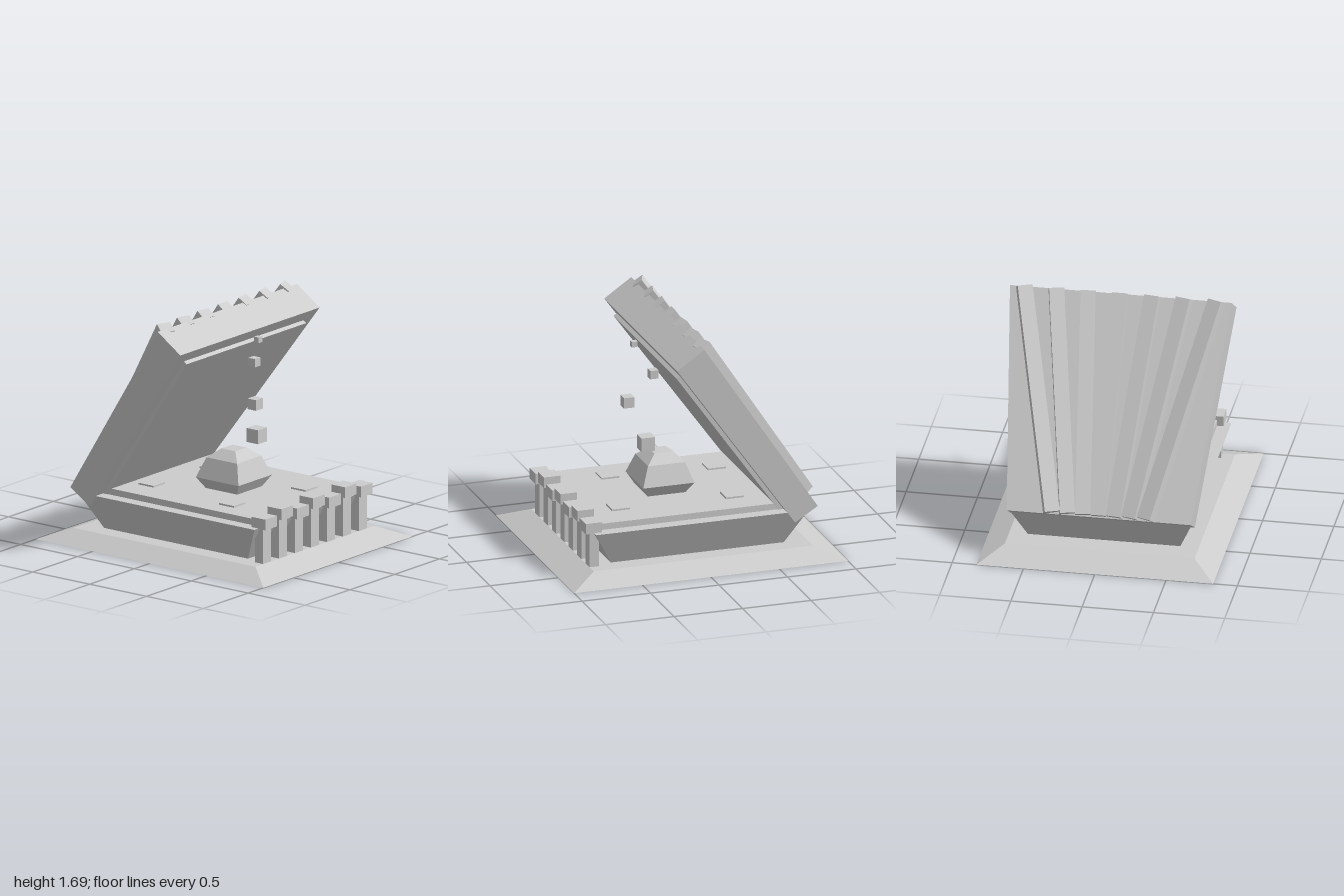
import * as THREE from 'three';
import { ConvexGeometry } from 'three/addons/geometries/ConvexGeometry.js';

export function createModel() {
  const model = new THREE.Group();
  model.name = 'openClamShell';
  const stone = new THREE.MeshStandardMaterial({ color: 0xcccccc });
  stone.name = 'paleGrey';

  const add = (name, geometry, x = 0, y = 0, z = 0) => {
    const mesh = new THREE.Mesh(geometry, stone);
    mesh.name = name;
    mesh.position.set(x, y, z);
    model.add(mesh);
    return mesh;
  };
  const box = (name, w, h, d, x, y, z) => add(name, new THREE.BoxGeometry(w, h, d), x, y, z);

  // Faceted solid from [x, y, halfZ] points mirrored across z
  const mirroredHull = (name, points) => add(name, new ConvexGeometry(
    points.flatMap(([x, y, z]) => [new THREE.Vector3(x, y, z), new THREE.Vector3(x, y, -z)])));

  // Solid of stacked rectangles: [y, halfX, halfZ]
  const stacked = (name, levels, cx = 0) => mirroredHull(name,
    levels.flatMap(([y, hx, hz]) => [[cx - hx, y, hz], [cx + hx, y, hz]]));

  // Sand base, lower shell and its floor
  stacked('sandBase', [[0, 1, 0.83], [0.08, 0.8, 0.665]]);
  stacked('lowerShell', [[0.08, 0.632, 0.535], [0.335, 0.775, 0.645]]);
  box('shellFloor', 1.47, 0.045, 1.11, 0, 0.3575, 0);

  // Raised lid, widening toward its open edge
  mirroredHull('upperShell', [
    [-0.843, 0.359, 0.645], [-0.677, 0.257, 0.645],
    [0.03, 1.655, 0.777], [0.228, 1.52, 0.777],
  ]);

  // Raised panel on the lid's inner face
  const along = new THREE.Vector2(0.582, 0.813);
  const panelPoint = (s, out, z) =>
    [-0.677 + along.x * s + along.y * out, 0.257 + along.y * s - along.x * out, z];
  mirroredHull('lidLining', [
    panelPoint(0.09, -0.01, 0.56), panelPoint(0.09, 0.03, 0.56),
    panelPoint(1.461, -0.01, 0.668), panelPoint(1.461, 0.03, 0.668),
  ]);

  // Ribs fanning over the lid
  for (let i = -3; i <= 3; i++) {
    const start = new THREE.Vector3(-0.853, 0.378, i * 0.11);
    const end = new THREE.Vector3(0.02, 1.663, i * 0.225);
    const middle = start.clone().add(end).multiplyScalar(0.5);
    const rib = box('rib', 0.105, 0.078, start.distanceTo(end), middle.x, middle.y, middle.z);
    rib.lookAt(end);
  }

  // Teeth along the open edge, with caps at alternating heights
  for (let i = -3; i <= 3; i++) {
    const capY = i % 2 ? 0.37 : 0.405;
    const z = i * 0.178;
    const height = capY - 0.08;
    box('tooth', 0.07, height, 0.09, 0.765, 0.08 + height / 2, z);
    box('toothCap', 0.12, 0.077, 0.13, 0.775, capY, z);
  }

  // Faceted pearl
  stacked('pearl', [
    [0.375, 0.135, 0.135], [0.46, 0.187, 0.187], [0.6, 0.135, 0.135], [0.66, 0.062, 0.062],
  ], 0.087);

  // Flat tiles on the floor
  for (const [x, z] of [[0.488, -0.275], [0.35, 0.35], [-0.405, 0.29], [-0.335, -0.3]])
    box('floorTile', 0.13, 0.02, 0.13, x, 0.382, z);

  // Rising bubbles
  for (const [size, x, y, z] of [
    [0.1, 0.22, 0.76, -0.087], [0.076, 0.31, 1.028, 0.045],
    [0.06, 0.177, 1.27, -0.112], [0.04, 0.285, 1.47, -0.02],
  ]) box('bubble', size, size, size, x, y, z);

  return model;
}
